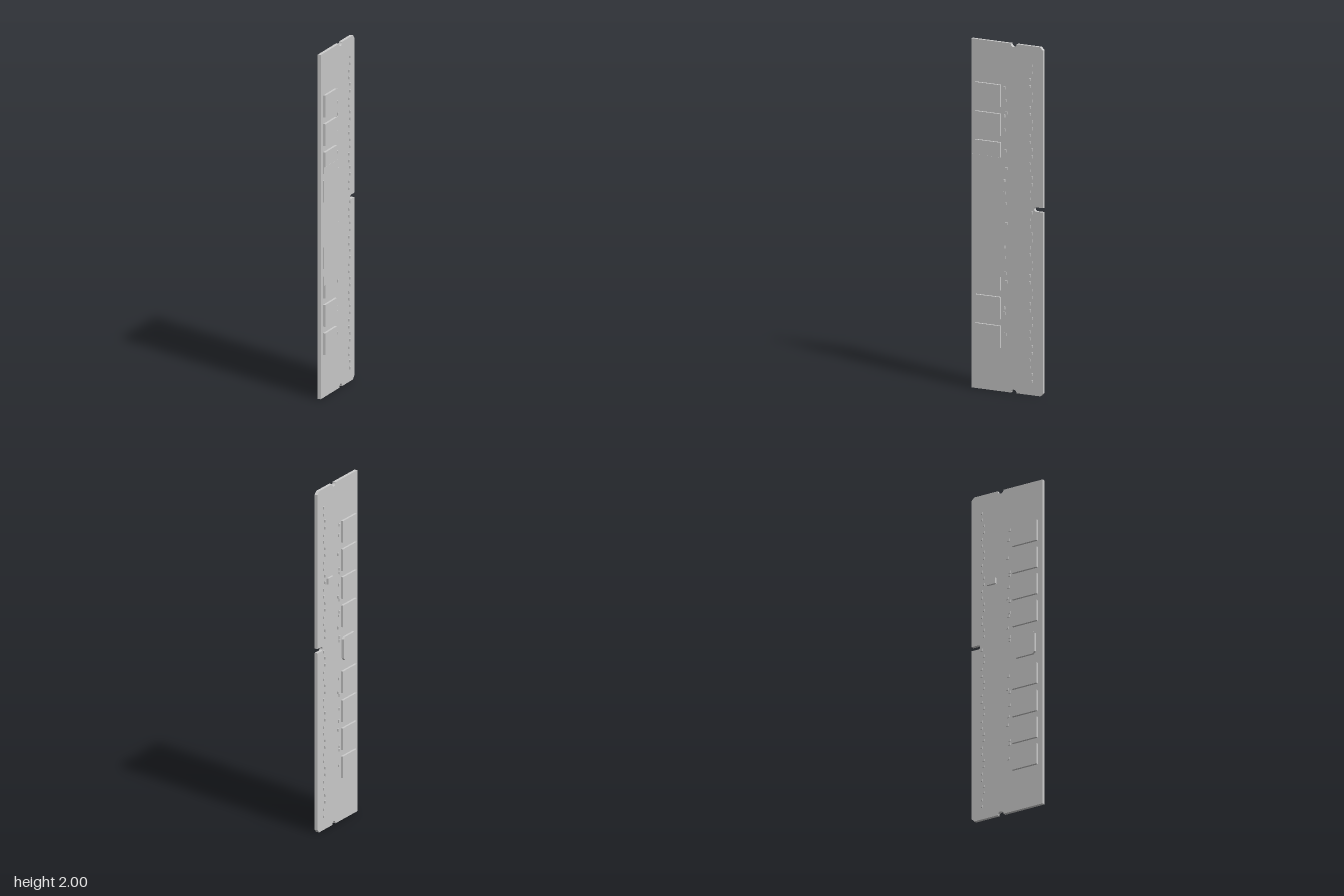
import * as THREE from 'three';

const mat = new THREE.MeshStandardMaterial({ color: 0xcccccc, flatShading: true });
const BOARD_L = 0.009, BOARD_R = -0.01; // board faces along x

// Extrude an outline drawn in (-z, y) between two x positions
function plate(name, shape, x0, x1) {
  const g = new THREE.ExtrudeGeometry(shape, { depth: x1 - x0, bevelEnabled: false, curveSegments: 10 });
  g.rotateY(Math.PI / 2);
  g.translate(x0, 0, 0);
  const m = new THREE.Mesh(g, mat);
  m.name = name;
  return m;
}

// Box standing on the left (+1) or right (-1) face of the board
function mounted(name, side, height, y, z, h, w) {
  const m = new THREE.Mesh(new THREE.BoxGeometry(height, h, w), mat);
  const face = side > 0 ? BOARD_L : BOARD_R;
  m.position.set(face + side * height / 2, y, z);
  m.name = name;
  return m;
}

// Board outline with chamfers, half-round end notches and a key slot
function boardShape() {
  const s = new THREE.Shape(), e = 0.235, c = 0.018, r = 0.019, n = 0.043;
  s.moveTo(-e, 0);
  s.lineTo(n - r, 0);
  s.absarc(n, 0, r, Math.PI, 0, true);
  s.lineTo(e - c, 0);
  s.lineTo(e, c);
  s.lineTo(e, 1.055);
  s.lineTo(0.19, 1.055);
  s.absarc(0.19, 1.0675, 0.0125, -Math.PI / 2, Math.PI / 2, true);
  s.lineTo(e, 1.08);
  s.lineTo(e, 2 - c);
  s.lineTo(e - c, 2);
  s.lineTo(n + r, 2);
  s.absarc(n, 2, r, 0, Math.PI, true);
  s.lineTo(-e, 2);
  s.closePath();
  return s;
}

// Central controller chip with clipped corners
function controllerShape() {
  const s = new THREE.Shape(), a = 0.07, b = 0.069, c = 0.014, z = -0.12, y = 1.003;
  [[-a, -b + c], [-a + c, -b], [a - c, -b], [a, -b + c], [a, b - c], [a - c, b], [-a + c, b], [-a, b - c]]
    .forEach(([u, v], i) => (i ? s.lineTo(z + u, y + v) : s.moveTo(z + u, y + v)));
  s.closePath();
  return s;
}

export function createModel() {
  const model = new THREE.Group();
  model.name = 'memoryModule';
  model.add(plate('board', boardShape(), BOARD_R, BOARD_L));

  // Memory chips on both faces, four either side of the controller
  const chipY = [0.3125, 0.477, 0.6415, 0.8115, 1.1975, 1.3635, 1.527, 1.693];
  for (const side of [1, -1]) {
    const chips = new THREE.Group();
    chips.name = side > 0 ? 'leftChips' : 'rightChips';
    for (const y of chipY) chips.add(mounted('memoryChip', side, 0.014, y, 0.121, 0.127, 0.163));
    model.add(chips);
  }
  model.add(plate('rightController', controllerShape(), BOARD_R - 0.014, BOARD_R));
  model.add(plate('leftController', controllerShape(), BOARD_L, BOARD_L + 0.014));

  // Thin label spanning the middle chips of the left face
  const label = new THREE.Mesh(new THREE.BoxGeometry(0.001, 0.685, 0.198), mat);
  label.position.set(0.0235, 1, 0.124);
  label.name = 'label';
  model.add(label);

  // Small configuration chip on the right face
  model.add(mounted('configurationChip', -1, 0.013, 1.448, -0.1, 0.036, 0.058));

  // Two staggered rows of resistors beside the contact edge
  const resistors = new THREE.Group();
  resistors.name = 'resistors';
  for (const side of [1, -1]) {
    for (let i = 0; i < 46; i++) {
      const y = 0.08 + i * 0.0402;
      if (Math.abs(y - 1.0675) < 0.02) continue;
      const z = i % 4 < 2 ? -0.167 : -0.153;
      resistors.add(mounted('resistor', side, 0.007, y, z, 0.015, 0.008));
    }
  }
  model.add(resistors);

  // Capacitors scattered along the inner edge of the chips
  const capacitors = new THREE.Group();
  capacitors.name = 'capacitors';
  const leftY = [1.74, 1.67, 1.6, 1.58, 1.5, 1.38, 1.28, 1.21, 1.14, 1.08, 0.965, 0.83, 0.77, 0.68, 0.63, 0.48, 0.45, 0.33];
  const rightY = [1.74, 1.68, 1.57, 1.48, 1.46, 1.39, 1.32, 1.3, 1.23, 1.21, 1.14, 1.08, 1.06, 0.84, 0.76, 0.74, 0.66, 0.59, 0.54, 0.44, 0.42, 0.33];
  const offsets = [0.016, 0.01, 0.003, 0.018];
  [[1, leftY], [-1, rightY]].forEach(([side, ys]) => ys.forEach((y, i) =>
    capacitors.add(mounted('capacitor', side, 0.007, y, offsets[i % 4], 0.016, 0.012))));
  model.add(capacitors);

  return model;
}
